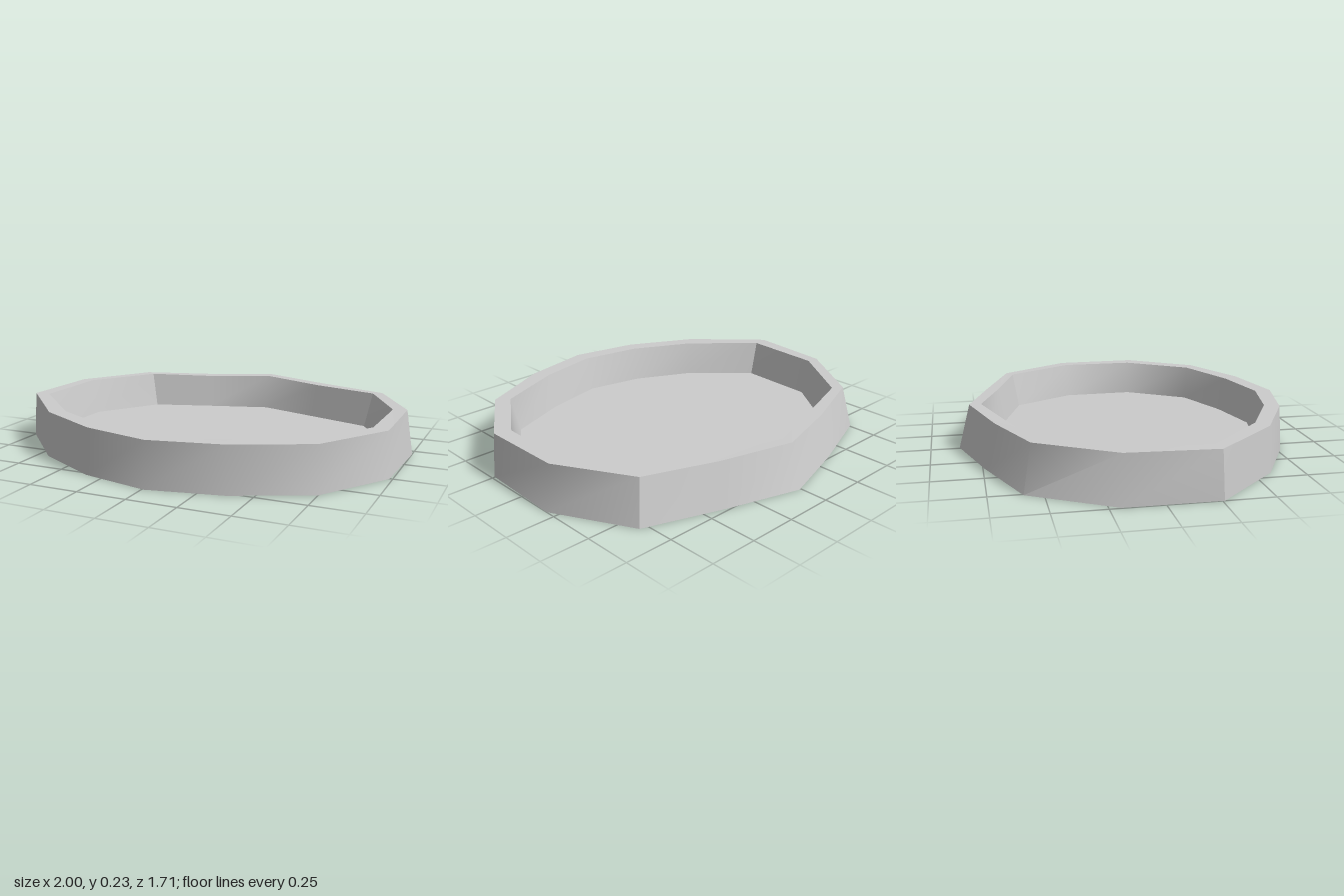
import * as THREE from 'three';
import { toCreasedNormals } from 'three/addons/utils/BufferGeometryUtils.js';

// Outlines as x, z pairs: back corner first, then round by +x to the front and back by -x
const outerFoot = [0.01, -0.854, 0.39, -0.737, 0.79, -0.593, 1, -0.195, 0.985, 0.255, 0.75, 0.61, 0.38, 0.78,
  0.01, 0.854, -0.34, 0.775, -0.685, 0.59, -1, 0.26, -0.995, -0.195, -0.76, -0.59, -0.365, -0.74];
const outerRim = [0.01, -0.795, 0.38, -0.685, 0.75, -0.553, 0.965, -0.187, 0.97, 0.248, 0.74, 0.596, 0.375, 0.766,
  0.01, 0.84, -0.335, 0.761, -0.675, 0.58, -0.988, 0.25, -0.957, -0.184, -0.718, -0.549, -0.355, -0.685];
const innerRim = [0.01, -0.735, 0.36, -0.625, 0.705, -0.52, 0.895, -0.17, 0.89, 0.22, 0.675, 0.55, 0.33, 0.69,
  0.01, 0.755, -0.3, 0.69, -0.61, 0.53, -0.91, 0.24, -0.895, -0.175, -0.667, -0.515, -0.325, -0.625];
const floorEdge = [0.01, -0.695, 0.34, -0.592, 0.67, -0.49, 0.855, -0.165, 0.855, 0.215, 0.64, 0.53, 0.32, 0.65,
  0.01, 0.715, -0.29, 0.65, -0.58, 0.505, -0.865, 0.235, -0.855, -0.17, -0.63, -0.49, -0.32, -0.592];

// The rim sags slightly along both back edges
const rimHeights = [0.229, 0.222, 0.226, 0.231, 0.231, 0.23, 0.23, 0.229, 0.23, 0.23, 0.233, 0.232, 0.228, 0.222];
// The floor rises very slightly towards the front
const floorHeight = z => 0.046 + 0.006 * z;

function ring(outline, height) {
  const points = [];
  for (let i = 0; i < outline.length; i += 2) {
    points.push(new THREE.Vector3(outline[i], height(i / 2, outline[i + 1]), outline[i + 1]));
  }
  return points;
}

// Band of quads between two rings, with creases at the sharper corners
function band(low, high) {
  const pts = [];
  low.forEach((a, i) => {
    const j = (i + 1) % low.length;
    pts.push(low[j], a, high[i], low[j], high[i], high[j]);
  });
  return toCreasedNormals(new THREE.BufferGeometry().setFromPoints(pts), 0.615);
}

// Fan from the centre to a ring
function cap(edge) {
  const centre = new THREE.Vector3(0, floorHeight(0), 0), pts = [];
  edge.forEach((a, i) => pts.push(centre, edge[(i + 1) % edge.length], a));
  const geometry = new THREE.BufferGeometry().setFromPoints(pts);
  geometry.computeVertexNormals();
  return geometry;
}

export function createModel() {
  const group = new THREE.Group();
  group.name = 'tray';
  const material = new THREE.MeshStandardMaterial({ color: 0xcccccc, side: THREE.DoubleSide });
  const add = (name, geometry) => {
    const mesh = new THREE.Mesh(geometry, material);
    mesh.name = name;
    group.add(mesh);
  };

  const foot = ring(outerFoot, () => 0);
  const top = ring(outerRim, i => rimHeights[i]);
  const lip = ring(innerRim, i => rimHeights[i]);
  const base = ring(floorEdge, (i, z) => floorHeight(z));

  // Hollow wall, open underneath, with the raised floor inside it
  add('outerWall', band(foot, top));
  add('rim', band(top, lip));
  add('innerWall', band(lip, base));
  add('floor', cap(base));
  return group;
}
